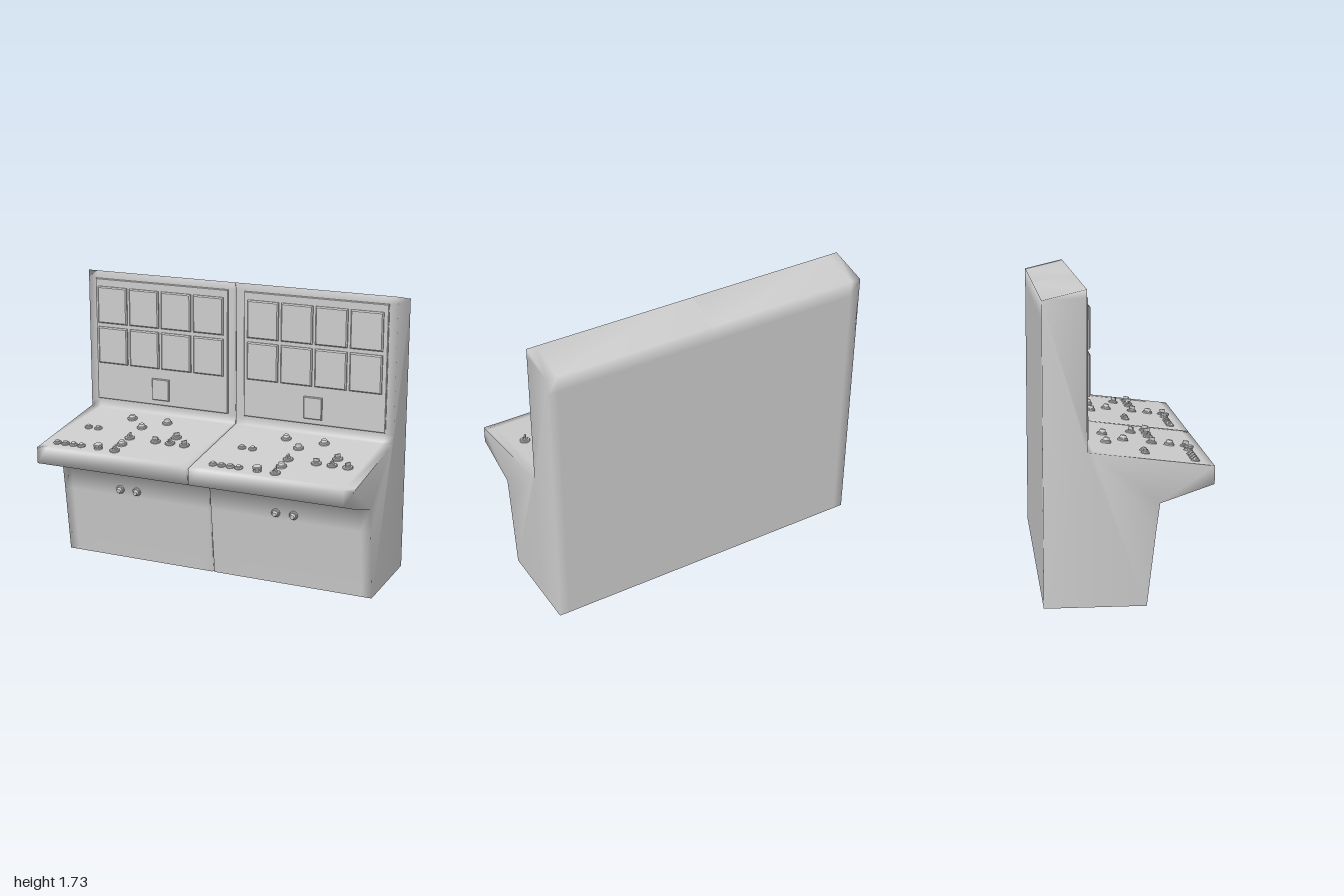
import * as THREE from 'three';
import { toCreasedNormals } from 'three/addons/utils/BufferGeometryUtils.js';

const material = new THREE.MeshStandardMaterial({ color: 0xcccccc });
const shellMaterial = new THREE.MeshStandardMaterial({ color: 0xcccccc, side: THREE.DoubleSide });

// Cabinet profile as [z, y], from the front foot over the desk to the back foot
const profile = [
  [0.10, 0], [0.15, 0.42], [0.17, 0.57], [0.465, 0.67], [0.465, 0.77], [0.42, 0.776],
  [-0.19, 0.851], [-0.222, 0.855], [-0.222, 0.9], [-0.222, 1.68], [-0.222, 1.725],
  [-0.46, 1.668], [-0.46, 1.57], [-0.46, 0],
];
const INNER = 7; // profile corner between desk and upright
const GROOVE_END = 10; // the centre seam runs along the front only
const DESK_TILT = Math.atan2(0.085, 0.687);
const deskY = (z) => 0.77 + (0.465 - z) * 0.085 / 0.687;

function mesh(name, geometry, mat = material) {
  const m = new THREE.Mesh(geometry, mat);
  m.name = name;
  return m;
}

// Smooth open-bottomed shell: the profile swept along x with a sunken centre seam
function cabinetGeometry() {
  const xs = [-1, -0.94, -0.06, -0.019, -0.015, -0.007, -0.003, 0.06, 0.94, 1];
  const n = profile.length;
  const positions = [];
  const index = [];
  xs.forEach((x, i) => {
    const sunk = i === 4 || i === 5;
    profile.forEach(([z, y], j) => {
      const inset = sunk && j < GROOVE_END;
      const drop = inset && j >= 4 && j <= INNER ? 0.012 : 0;
      positions.push(x, y - drop, inset ? z - 0.012 : z);
    });
  });
  for (let i = 0; i < xs.length - 1; i++) {
    for (let j = 0; j < n - 1; j++) {
      const a = i * n + j, b = a + n;
      index.push(a, b, b + 1, a, b + 1, a + 1);
    }
  }
  // Side walls, split into a desk part and an upright part
  for (const side of [-1, 1]) {
    const base = side < 0 ? 0 : (xs.length - 1) * n;
    const foot = positions.length / 3;
    positions.push(side, 0, profile[INNER][0]);
    const ids = profile.map((_, j) => base + j);
    for (const part of [[...ids.slice(0, INNER + 1), foot], [...ids.slice(INNER), foot]]) {
      const outline = part.map((k) => new THREE.Vector2(positions[k * 3 + 2], positions[k * 3 + 1]));
      for (const [a, b, c] of THREE.ShapeUtils.triangulateShape(outline, [])) {
        if (side < 0) index.push(part[a], part[b], part[c]);
        else index.push(part[a], part[c], part[b]);
      }
    }
  }
  const g = new THREE.BufferGeometry();
  g.setAttribute('position', new THREE.Float32BufferAttribute(positions, 3));
  g.setIndex(index);
  g.computeVertexNormals();
  return g;
}

// Flat plate with a chamfered front edge, given by its front rectangle
function plate(name, x0, x1, y0, y1, back, front, bevel) {
  const w = (x1 - x0) / 2 - bevel, h = (y1 - y0) / 2 - bevel;
  const shape = new THREE.Shape([
    new THREE.Vector2(-w, -h), new THREE.Vector2(w, -h),
    new THREE.Vector2(w, h), new THREE.Vector2(-w, h),
  ]);
  const g = new THREE.ExtrudeGeometry(shape, {
    depth: front - back - bevel, bevelEnabled: true, bevelSize: bevel,
    bevelThickness: bevel, bevelSegments: 1,
  });
  const m = mesh(name, g);
  m.position.set((x0 + x1) / 2, (y0 + y1) / 2, back);
  return m;
}

function turned(points, sides = 20) {
  const g = new THREE.LatheGeometry(points.map(([r, y]) => new THREE.Vector2(r, y)), sides);
  return toCreasedNormals(g, 0.6);
}

const domeGeometry = turned([[0.03, -0.006], [0.03, 0.008], [0.026, 0.013], [0.02, 0.014],
  [0.019, 0.024], [0.015, 0.029], [0.008, 0.031], [0, 0.032]]);
const smallGeometry = turned([[0.024, -0.006], [0.024, 0.006], [0.02, 0.011], [0.015, 0.012],
  [0.014, 0.018], [0.008, 0.021], [0, 0.022]]);
const baseGeometry = turned([[0.03, -0.006], [0.03, 0.007], [0.026, 0.011], [0.017, 0.012],
  [0.015, 0.017], [0, 0.017]]);
const dialGeometry = turned([[0.025, -0.006], [0.025, 0.012], [0.02, 0.014], [0.02, 0.018],
  [0.028, 0.018], [0.028, 0.028], [0.024, 0.031], [0, 0.031]], 10);
const handleGeometry = new THREE.BoxGeometry(0.009, 0.022, 0.034);

// Seats a control on the sloping desk top
function onDesk(name, geometry, x, z) {
  const m = mesh(name, geometry);
  m.position.set(x, deskY(z), z);
  m.rotation.x = DESK_TILT;
  return m;
}

function rotarySwitch(x, z, turn) {
  const m = onDesk('rotarySwitch', baseGeometry, x, z);
  const handle = mesh('switchHandle', handleGeometry);
  handle.position.y = 0.023;
  handle.rotation.y = turn;
  m.add(handle);
  return m;
}

// Controls of one desk half, measured on the -x half
function deskControls(dx) {
  const g = new THREE.Group();
  g.name = 'deskControls';
  for (const [x, z] of [[-0.645, -0.09], [-0.405, -0.09], [-0.525, 0.017], [-0.525, 0.28]])
    g.add(onDesk('domeButton', domeGeometry, x, z));
  for (const [x, z] of [[-0.845, 0.107], [-0.778, 0.107],
    [-0.912, 0.372], [-0.858, 0.372], [-0.803, 0.372], [-0.75, 0.372]])
    g.add(onDesk('smallButton', smallGeometry, x, z));
  for (const [x, z, turn] of [[-0.525, 0.18, 0], [-0.525, 0.373, 0], [-0.255, 0.09, -0.8],
    [-0.35, 0.182, 1.57], [-0.255, 0.182, 0], [-0.16, 0.182, -0.6]])
    g.add(rotarySwitch(x, z, turn));
  g.add(onDesk('dial', dialGeometry, -0.635, 0.373));
  // Pair of knobs on the panel under the desk
  for (const x of [-0.607, -0.495]) {
    const knob = mesh('lowerKnob', domeGeometry);
    knob.position.set(x, 0.463, 0.156);
    knob.rotation.x = Math.PI / 2 + 0.14;
    knob.scale.set(0.87, 1, 0.87);
    g.add(knob);
  }
  g.position.x = dx;
  return g;
}

// Upright panel with two rows of screens and one small display
function wallPanel(dx, x0, x1) {
  const g = new THREE.Group();
  g.name = 'wallPanel';
  g.add(plate('backPlate', x0, x1, 0.91, 1.678, -0.23, -0.212, 0.004));
  for (const [y0, y1] of [[1.4, 1.63], [1.145, 1.375]])
    for (let i = 0; i < 4; i++) {
      const x = -0.93 + dx + i * 0.2165;
      g.add(plate('screen', x, x + 0.198, y0, y1, -0.215, -0.197, 0.007));
    }
  g.add(plate('smallDisplay', -0.563 + dx, -0.448 + dx, 0.945, 1.08, -0.215, -0.199, 0.004));
  return g;
}

export function createModel() {
  const model = new THREE.Group();
  model.name = 'controlConsole';
  model.add(mesh('cabinet', cabinetGeometry(), shellMaterial));
  model.add(wallPanel(0, -0.95, -0.055), wallPanel(1.005, 0.05, 0.95));
  model.add(deskControls(0), deskControls(1.024));
  return model;
}
